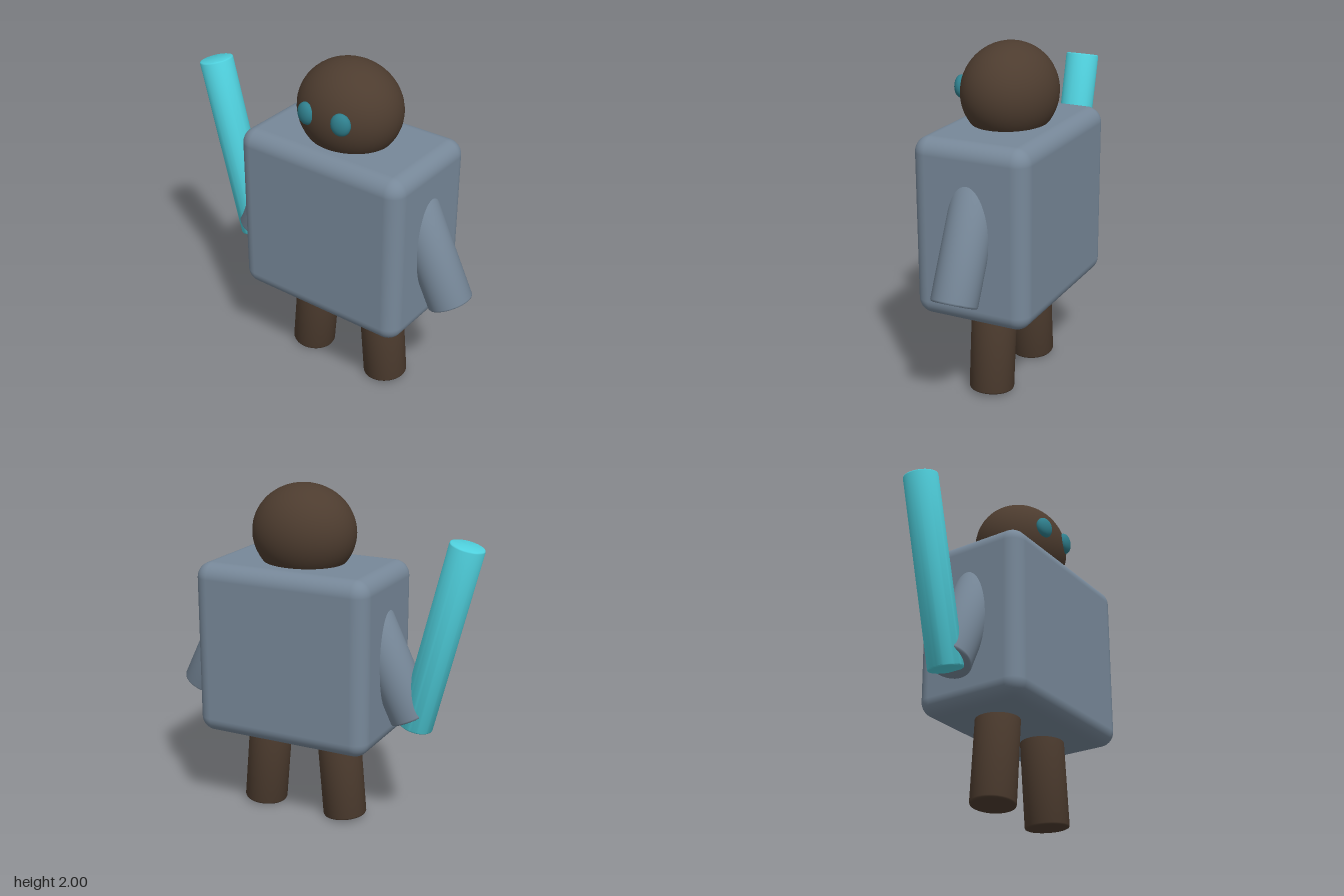
import * as THREE from 'three';
import { RoundedBoxGeometry } from 'three/addons/geometries/RoundedBoxGeometry.js';
import { toCreasedNormals } from 'three/addons/utils/BufferGeometryUtils.js';

const MID = 0.134; // the figure's own centre line in x
const material = (color) => new THREE.MeshStandardMaterial({ color });
const slate = material(0x778899);
const brown = material(0x4d3c2f);
const cyan = material(0x4fd0dd);
const teal = material(0x2f7f8d);

// Cylinder with softly bevelled rims, rising from its own origin
function rodGeometry(radius, length, bevel = 0.012) {
  const profile = [
    [0, 0], [radius - bevel, 0], [radius - bevel * 0.3, bevel * 0.3], [radius, bevel],
    [radius, length - bevel], [radius - bevel * 0.3, length - bevel * 0.3],
    [radius - bevel, length], [0, length],
  ].map(([x, y]) => new THREE.Vector2(x, y));
  return toCreasedNormals(new THREE.LatheGeometry(profile, 48), 0.9);
}

export function createModel() {
  const model = new THREE.Group();
  model.name = 'figure';

  function add(name, geometry, mat, x, y, z = 0) {
    const mesh = new THREE.Mesh(geometry, mat);
    mesh.name = name;
    mesh.position.set(x, y, z);
    model.add(mesh);
    return mesh;
  }

  // Torso and head
  add('torso', new RoundedBoxGeometry(1.09, 1.03, 0.69, 6, 0.09), slate, MID, 1.036);
  add('head', new THREE.SphereGeometry(1, 48, 32), brown, MID, 1.72, 0.011)
    .scale.set(0.308, 0.28, 0.27);

  // Mirrored limbs and eyes
  const armGeometry = rodGeometry(0.13, 0.8);
  const legGeometry = rodGeometry(0.13, 0.65);
  const eyeGeometry = new THREE.SphereGeometry(1, 32, 20);
  for (const [side, s] of [['left', 1], ['right', -1]]) {
    add(side + 'Arm', armGeometry, slate, MID + s * 0.7, 0.705).rotation.z = s * 0.45;
    add(side + 'Leg', legGeometry, brown, MID + s * 0.273, 0.013).rotation.z = s * 0.087;
    const eye = add(side + 'Eye', eyeGeometry, teal, MID + s * 0.115, 1.746, 0.256);
    eye.scale.set(0.058, 0.065, 0.037);
    eye.rotation.y = s * 0.2;
  }

  // Staff held in the right hand
  add('staff', rodGeometry(0.1, 1.117, 0.008), cyan, -0.583, 0.655).rotation.z = 0.247;

  return model;
}
